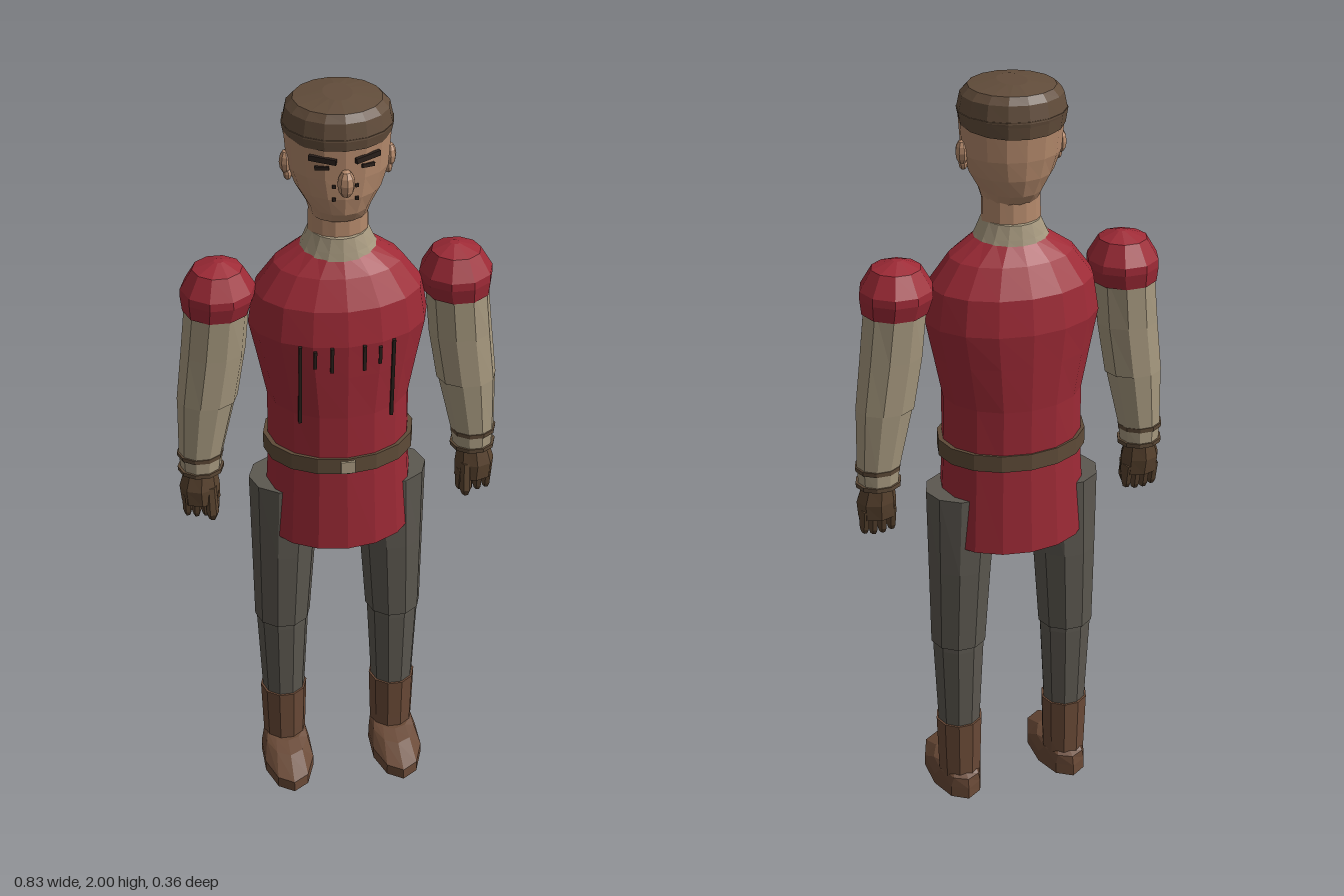
import * as THREE from 'three';

const paint = (name, color) => Object.assign(new THREE.MeshStandardMaterial({ color, flatShading: true }), { name });
const M = {
  red: paint('tunic red', 0x9e2a36),
  linen: paint('linen', 0xa89a80),
  hose: paint('grey hose', 0x5c5850),
  boot: paint('boot leather', 0x6a4a37),
  belt: paint('belt leather', 0x5e4b38),
  skin: paint('skin', 0xb58a6c),
  cap: paint('cap brown', 0x624d3b),
  glove: paint('glove brown', 0x59432f),
  dark: paint('dark detail', 0x2a201b),
};

// Closed skin through elliptical rings [y, rx, rz, cz, cx], listed bottom to top
function loft(rings, sides, phase = 0) {
  const pos = [], idx = [];
  for (const [y, rx, rz, cz = 0, cx = 0] of rings)
    for (let j = 0; j < sides; j++) {
      const a = phase + (j / sides) * Math.PI * 2;
      pos.push(cx + rx * Math.cos(a), y, cz + rz * Math.sin(a));
    }
  const last = rings.length - 1, low = pos.length / 3, high = low + 1;
  for (const [y, , , cz = 0, cx = 0] of [rings[0], rings[last]]) pos.push(cx, y, cz);
  for (let j = 0; j < sides; j++) {
    const k = (j + 1) % sides;
    for (let i = 0; i < last; i++) {
      const a = i * sides + j, b = i * sides + k;
      idx.push(a, a + sides, b + sides, a, b + sides, b);
    }
    idx.push(low, j, k, high, last * sides + k, last * sides + j);
  }
  const g = new THREE.BufferGeometry();
  g.setAttribute('position', new THREE.Float32BufferAttribute(pos, 3));
  g.setIndex(idx);
  const flat = g.toNonIndexed();
  flat.computeVertexNormals();
  return flat;
}

function add(parent, name, geometry, material, x = 0, y = 0, z = 0) {
  const mesh = new THREE.Mesh(geometry, material);
  mesh.name = name;
  mesh.position.set(x, y, z);
  parent.add(mesh);
  return mesh;
}

function blob(parent, name, material, p, r) {
  const mesh = add(parent, name, new THREE.SphereGeometry(1, 8, 6), material, ...p);
  mesh.scale.set(...r);
  return mesh;
}

function buildTorso(g) {
  add(g, 'tunic', loft([
    [0.80, 0.195, 0.159, -0.016], [1.04, 0.182, 0.15, -0.014], [1.2, 0.181, 0.153, -0.015],
    [1.32, 0.205, 0.16, -0.016], [1.41, 0.224, 0.165, -0.017], [1.5, 0.21, 0.152, -0.017],
    [1.57, 0.158, 0.115, -0.016], [1.62, 0.085, 0.08, -0.014],
  ], 16), M.red);
  add(g, 'belt', loft([[1.035, 0.194, 0.156, -0.013], [1.08, 0.194, 0.156, -0.013]], 16), M.belt);
  add(g, 'buckle', new THREE.BoxGeometry(0.036, 0.034, 0.008), M.linen, 0, 1.057, 0.144);
  add(g, 'collar', loft([[1.595, 0.104, 0.091, -0.013], [1.625, 0.088, 0.085, -0.013], [1.66, 0.072, 0.078, -0.013]], 16), M.linen);
  // Slashed trim across the chest
  for (const s of [-1, 1])
    for (const [x, y0, z0, y1, z1] of [
      [0.115, 1.18, 0.106, 1.41, 0.128], [0.08, 1.35, 0.132, 1.4, 0.138], [0.04, 1.34, 0.142, 1.41, 0.147],
    ]) {
      const cut = add(g, 'chestSlash', new THREE.BoxGeometry(0.008, Math.hypot(y1 - y0, z1 - z0), 0.009), M.dark,
        s * x, (y0 + y1) / 2, (z0 + z1) / 2);
      cut.rotation.x = Math.atan2(z1 - z0, y1 - y0);
    }
}

function buildHead(g) {
  add(g, 'neck', loft([[1.6, 0.076, 0.068, -0.014], [1.74, 0.072, 0.066, -0.012]], 14), M.skin);
  add(g, 'face', loft([
    [1.705, 0.07, 0.069, -0.006], [1.735, 0.078, 0.094, -0.006], [1.78, 0.104, 0.107, -0.01],
    [1.83, 0.122, 0.112, -0.014], [1.93, 0.13, 0.117, -0.016],
  ], 16), M.skin);
  const cap = new THREE.Group();
  cap.name = 'cap';
  g.add(cap);
  add(cap, 'capCrown', loft([
    [1.907, 0.127, 0.124, -0.019], [1.93, 0.133, 0.127, -0.02], [1.972, 0.124, 0.119, -0.02],
    [1.99, 0.106, 0.106, -0.02], [2.0, 0.035, 0.05, -0.02],
  ], 16), M.cap);
  // Cap hem dips at the back
  const hem = loft([[1.905, 0.128, 0.122, -0.02], [1.935, 0.134, 0.127, -0.02]], 16);
  const p = hem.attributes.position;
  for (let i = 0; i < p.count; i++) if (p.getY(i) < 1.92) p.setY(i, 1.905 + p.getZ(i) * 0.1);
  hem.computeVertexNormals();
  add(cap, 'capHem', hem, M.cap);

  blob(g, 'nose', M.skin, [0, 1.826, 0.105], [0.021, 0.035, 0.023]);
  for (const s of [-1, 1]) {
    blob(g, 'ear', M.skin, [s * 0.124, 1.835, -0.016], [0.016, 0.03, 0.021]);
    blob(g, 'earLobe', M.skin, [s * 0.12, 1.806, -0.012], [0.011, 0.017, 0.013]);
    const brow = add(g, 'eyebrow', new THREE.BoxGeometry(0.066, 0.013, 0.009), M.dark, s * 0.053, 1.884, 0.091);
    brow.rotation.set(0, s * 0.42, s * 0.08);
    const eye = add(g, 'eye', new THREE.BoxGeometry(0.034, 0.009, 0.008), M.dark, s * 0.054, 1.862, 0.087);
    eye.rotation.set(0, s * 0.42, s * -0.1);
    for (const y of [1.782, 1.815])
      add(g, 'freckle', new THREE.BoxGeometry(0.008, 0.008, 0.006), M.dark, s * 0.027, y, 0.094);
  }
}

function buildArm(s) {
  const g = new THREE.Group();
  g.name = s > 0 ? 'leftArm' : 'rightArm';
  const at = (y, r, x, rz = r, z = -0.017) => [y, r, rz, z, s * x];
  add(g, 'shoulderPuff', loft([
    at(1.455, 0.084, 0.3), at(1.495, 0.093, 0.295), at(1.515, 0.092, 0.295), at(1.566, 0.062, 0.294), at(1.584, 0.012, 0.29),
  ], 10), M.red);
  add(g, 'upperSleeve', loft([at(1.2, 0.077, 0.332, 0.068), at(1.34, 0.081, 0.312, 0.075), at(1.48, 0.08, 0.298, 0.083)], 10), M.linen);
  add(g, 'lowerSleeve', loft([at(0.985, 0.052, 0.356, 0.05), at(1.04, 0.057, 0.354, 0.052), at(1.205, 0.075, 0.333, 0.066)], 10), M.linen);
  for (const y of [0.985, 1.03])
    add(g, 'cuffBand', loft([at(y, 0.059, 0.356, 0.054), at(y + 0.012, 0.06, 0.356, 0.055)], 10), M.belt);
  // Gloved hand with curled fingers
  add(g, 'palm', loft([at(0.895, 0.05, 0.36, 0.042, -0.01), at(0.94, 0.052, 0.362, 0.047, -0.012), at(0.985, 0.042, 0.358, 0.04, -0.016)], 8), M.glove);
  [0.325, 0.349, 0.373, 0.396].forEach((x, i) => {
    const tip = 0.84 + Math.abs(i - 1.5) * 0.006;
    add(g, 'finger', loft([at(tip, 0.008, x, 0.012, -0.012), at(tip + 0.015, 0.012, x, 0.022, -0.012), at(0.92, 0.013, x, 0.036, -0.012)], 6), M.glove);
  });
  add(g, 'thumb', loft([at(0.85, 0.01, 0.335, 0.012, 0.02), at(0.87, 0.016, 0.334, 0.02, 0.022), at(0.945, 0.014, 0.335, 0.014, 0.014)], 6), M.glove);
  return g;
}

function buildLeg(s) {
  const g = new THREE.Group();
  g.name = s > 0 ? 'leftLeg' : 'rightLeg';
  const at = (y, r, x, rz = r, z = -0.022) => [y, r, rz, z, s * x];
  add(g, 'thigh', loft([at(0.485, 0.075, 0.152), at(0.72, 0.085, 0.145), at(0.94, 0.098, 0.135, 0.091)], 10), M.hose);
  add(g, 'shin', loft([at(0.2, 0.057, 0.153), at(0.47, 0.07, 0.152), at(0.5, 0.07, 0.152)], 10), M.hose);
  add(g, 'bootShaft', loft([at(0.03, 0.057, 0.153, 0.06), at(0.1, 0.06, 0.153, 0.061), at(0.23, 0.064, 0.153, 0.064)], 10), M.boot);
  add(g, 'bootFoot', loft([
    at(0, 0.071, 0.154, 0.143, 0.039), at(0.032, 0.071, 0.154, 0.142, 0.039),
    at(0.061, 0.061, 0.153, 0.1, 0.002), at(0.069, 0.054, 0.153, 0.065, -0.015),
  ], 10, Math.PI / 2), M.boot);
  return g;
}

export function createModel() {
  const model = new THREE.Group();
  model.name = 'tunicFigure';
  const torso = new THREE.Group(), head = new THREE.Group();
  torso.name = 'torso';
  head.name = 'head';
  buildTorso(torso);
  buildHead(head);
  model.add(torso, head);
  for (const s of [-1, 1]) model.add(buildArm(s), buildLeg(s));
  return model;
}
